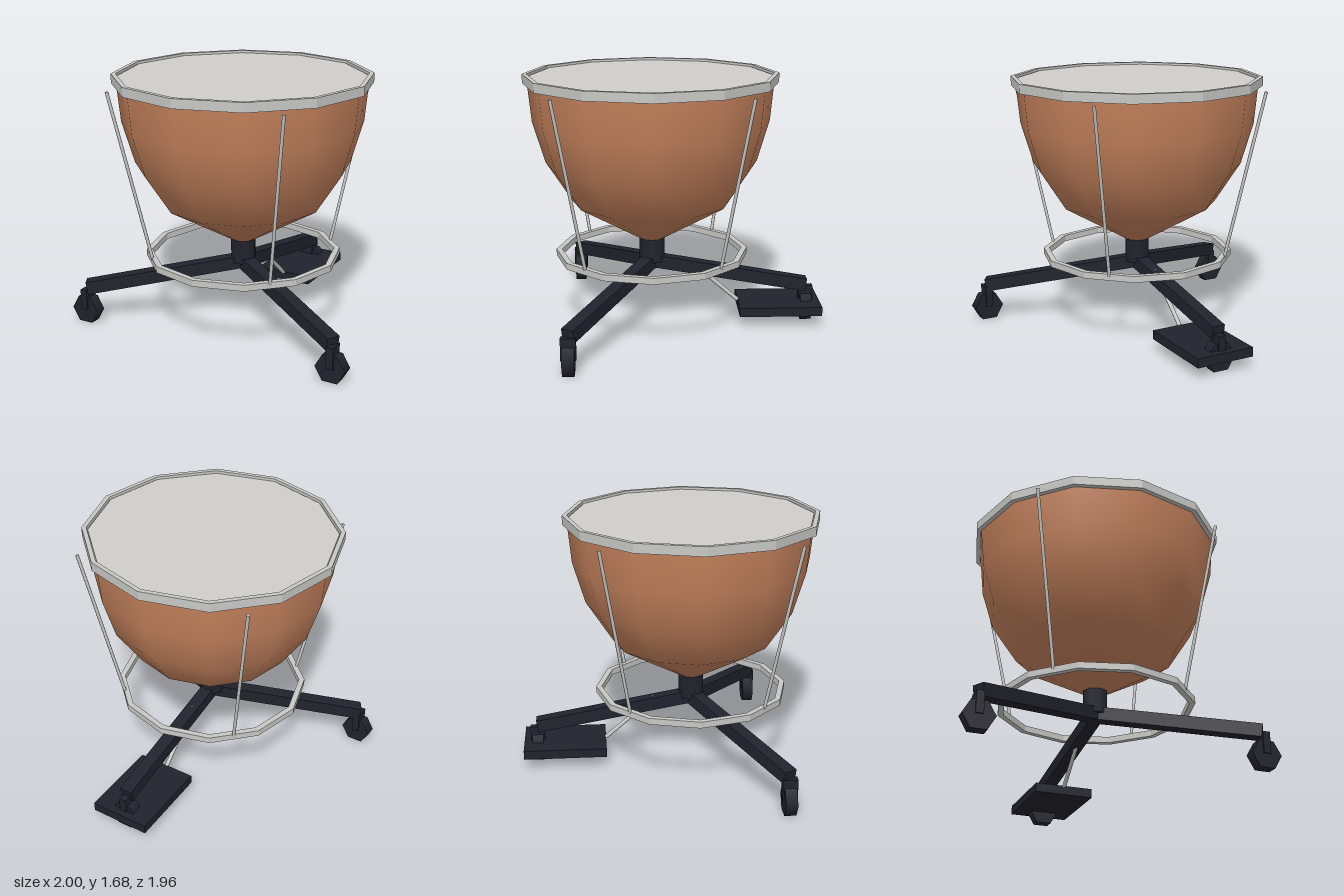
import * as THREE from 'three';

const paint = (name, color) => {
  const m = new THREE.MeshStandardMaterial({ color });
  m.name = name;
  return m;
};

export function createModel() {
  const copper = paint('copper', 0xc8845e);
  const steel = paint('steel', 0xc8c8c6);
  const skin = paint('drumSkin', 0xd0cecb);
  const dark = paint('darkFrame', 0x22222d);

  const model = new THREE.Group();
  model.name = 'kettledrum';
  const CZ = 0.15; // z of the drum axis

  const add = (name, geometry, material, x = 0, y = 0, z = 0, parent = model) => {
    const mesh = new THREE.Mesh(geometry, material);
    mesh.name = name;
    mesh.position.set(x, y, z);
    parent.add(mesh);
    return mesh;
  };

  // Revolved profile with twelve sides
  const lathe = (points) =>
    new THREE.LatheGeometry(points.map(([r, y]) => new THREE.Vector2(r, y)), 12);

  // Flat-faceted hoop with a rectangular section
  const hoop = (inner, outer, y0, y1) => {
    const g = lathe([[outer, y0], [outer, y1], [inner, y1], [inner, y0], [outer, y0]]).toNonIndexed();
    g.computeVertexNormals();
    return g;
  };

  // Round rod between two points
  const rod = (name, from, to, radius) => {
    const dir = to.clone().sub(from);
    const mesh = add(name, new THREE.CylinderGeometry(radius, radius, dir.length(), 8), steel);
    mesh.position.copy(from).add(to).multiplyScalar(0.5);
    mesh.quaternion.setFromUnitVectors(new THREE.Vector3(0, 1, 0), dir.normalize());
  };

  // Bowl, head and hoops
  add('bowl', lathe([[0, 0.565], [0.07, 0.575], [0.525, 0.84], [0.695, 1.1], [0.775, 1.37], [0.8, 1.63]]),
    copper, 0, 0, CZ);
  add('head', new THREE.CylinderGeometry(0.792, 0.792, 0.03, 12), skin, 0, 1.65, CZ);
  add('rim', hoop(0.8, 0.83, 1.62, 1.68), steel, 0, 0, CZ);
  add('lowerRing', hoop(0.6, 0.638, 0.463, 0.505), steel, 0, 0, CZ);

  // Tension rods on the four diagonals
  for (const sx of [-1, 1]) for (const sz of [-1, 1]) {
    rod('tensionRod',
      new THREE.Vector3(sx * 0.43, 0.49, CZ + sz * 0.43),
      new THREE.Vector3(sx * 0.61, 1.61, CZ + sz * 0.61), 0.011);
  }

  // Hub with three sloping legs
  add('hub', new THREE.CylinderGeometry(0.083, 0.083, 0.16, 8), dark, 0, 0.5, CZ);
  const reach = 1.04, drop = 0.185;
  const wheel = new THREE.CylinderGeometry(0.1, 0.1, 0.075, 6).rotateY(Math.PI / 6).rotateX(Math.PI / 2);
  for (const angle of [Math.PI / 3, -Math.PI / 3, Math.PI]) {
    const leg = new THREE.Group();
    leg.name = 'leg';
    leg.position.z = CZ;
    leg.rotation.y = angle;
    model.add(leg);
    const beam = add('legBeam', new THREE.BoxGeometry(0.085, 0.085, Math.hypot(reach, drop)), dark,
      0, 0.425 - drop / 2, reach / 2, leg);
    beam.rotation.x = Math.atan2(drop, reach);

    // Caster, with every wheel facing the same way
    const x = Math.sin(angle) * reach, z = CZ + Math.cos(angle) * reach;
    add('casterFork', new THREE.BoxGeometry(0.048, 0.14, 0.095), dark, x, 0.16, z);
    add('casterWheel', wheel, dark, x, 0.087, z);
  }

  // Foot pedal and its link
  add('pedal', new THREE.BoxGeometry(0.395, 0.06, 0.55), dark, 0, 0.105, -0.705);
  rod('pedalLink', new THREE.Vector3(0, 0.13, -0.43), new THREE.Vector3(0, 0.415, -0.1), 0.014);

  return model;
}
